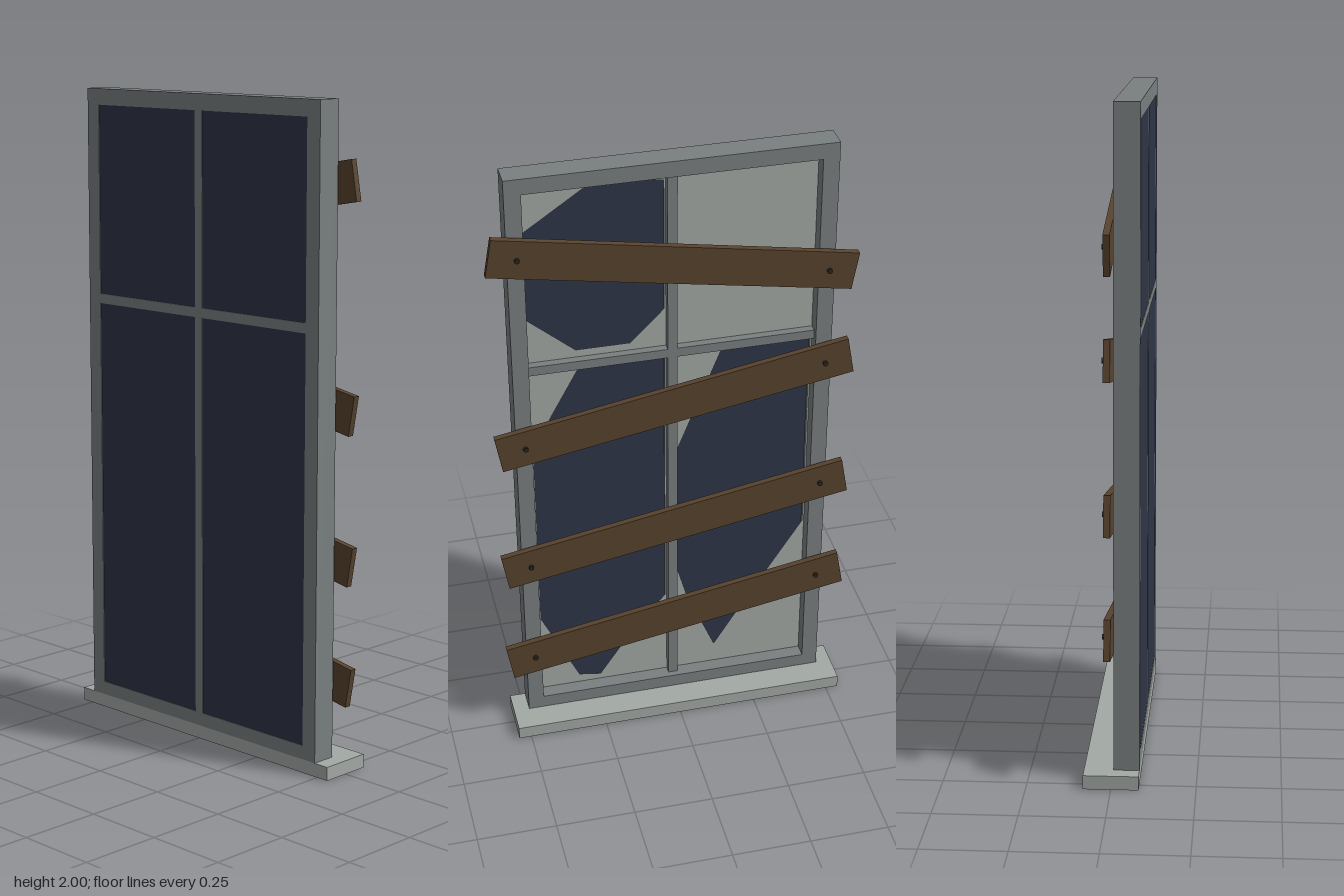
import * as THREE from 'three';

const mat = (name, color, extra = {}) => {
  const m = new THREE.MeshStandardMaterial({ color, ...extra });
  m.name = name;
  return m;
};

export function createModel() {
  const group = new THREE.Group();
  group.name = 'boardedWindow';

  const framePaint = mat('frame grey', 0x7a8080);
  const palePaint = mat('pale grey', 0xa3aaa5, { side: THREE.DoubleSide });
  const darkPane = mat('dark blue pane', 0x2f3548, { side: THREE.DoubleSide });
  const wood = mat('brown wood', 0x58432e);
  const iron = mat('dark iron', 0x2a2520);

  const add = (name, geometry, material, x = 0, y = 0, z = 0, parent = group) => {
    const mesh = new THREE.Mesh(geometry, material);
    mesh.name = name;
    mesh.position.set(x, y, z);
    parent.add(mesh);
    return mesh;
  };
  const box = (name, material, x0, x1, y0, y1, z0, z1) =>
    add(name, new THREE.BoxGeometry(x1 - x0, y1 - y0, z1 - z0), material,
      (x0 + x1) / 2, (y0 + y1) / 2, (z0 + z1) / 2);
  const rect = (Type, x0, x1, y0, y1) => new Type(
    [[x0, y0], [x1, y0], [x1, y1], [x0, y1]].map(p => new THREE.Vector2(...p)));

  // Sill and outer frame
  const front = 0.082, back = 0.005;
  box('sill', palePaint, -0.54, 0.54, 0, 0.042, -0.082, front);
  const outline = rect(THREE.Shape, -0.49, 0.49, 0.042, 2);
  outline.holes.push(rect(THREE.Path, -0.44, 0.44, 0.085, 1.95));
  add('frame', new THREE.ExtrudeGeometry(outline, { depth: front - back, bevelEnabled: false }),
    framePaint, 0, 0, back);

  // Glazing bars
  box('verticalBar', framePaint, -0.015, 0.015, 0.085, 1.95, 0.025, front);
  box('crossBar', framePaint, -0.44, 0.44, 1.33, 1.36, 0.025, front);

  // Dark pane just behind the front face
  box('darkPane', darkPane, -0.44, 0.44, 0.085, 1.95, 0.076, 0.08);

  // Inner panes, three of them broken: [x0, x1, y0, y1, hole outline]
  const panes = [
    [0.015, 0.44, 1.36, 1.95, [[0.435, 1.80], [0.23, 1.94], [0.02, 1.92], [0.02, 1.49],
      [0.125, 1.385], [0.29, 1.385], [0.435, 1.51]]],
    [-0.44, -0.015, 1.36, 1.95, null],
    [0.015, 0.44, 0.085, 1.33, [[0.28, 1.325], [0.02, 1.325], [0.02, 0.40], [0.15, 0.24],
      [0.24, 0.105], [0.31, 0.117], [0.43, 0.375], [0.43, 1.04], [0.37, 1.16]]],
    [-0.44, -0.015, 0.085, 1.33, [[-0.16, 1.325], [-0.435, 1.325], [-0.435, 0.62], [-0.22, 0.28],
      [-0.145, 0.158], [-0.05, 0.39], [-0.02, 0.50], [-0.02, 0.97]]],
  ];
  for (const [x0, x1, y0, y1, hole] of panes) {
    const shape = rect(THREE.Shape, x0, x1, y0, y1);
    if (hole) shape.holes.push(new THREE.Path(hole.map(p => new THREE.Vector2(...p))));
    add(hole ? 'brokenPane' : 'wholePane', new THREE.ShapeGeometry(shape), palePaint, 0, 0, 0.05);
  }

  // Slanted boards nailed across the back: [centre height, slant in degrees]
  const boardGeometry = new THREE.BoxGeometry(1.11, 0.122, 0.02);
  const nailGeometry = new THREE.CylinderGeometry(0.008, 0.008, 0.012, 8).rotateX(Math.PI / 2);
  for (const [y, slant] of [[1.675, 10], [1.185, -10], [0.733, -10], [0.363, -10]]) {
    const plank = new THREE.Group();
    plank.name = 'nailedBoard';
    plank.position.set(0, y, -0.01);
    plank.rotation.z = THREE.MathUtils.degToRad(slant);
    add('board', boardGeometry, wood, 0, 0, 0, plank);
    for (const side of [-1, 1]) add('nail', nailGeometry, iron, side * 0.472, 0, -0.013, plank);
    group.add(plank);
  }

  return group;
}
